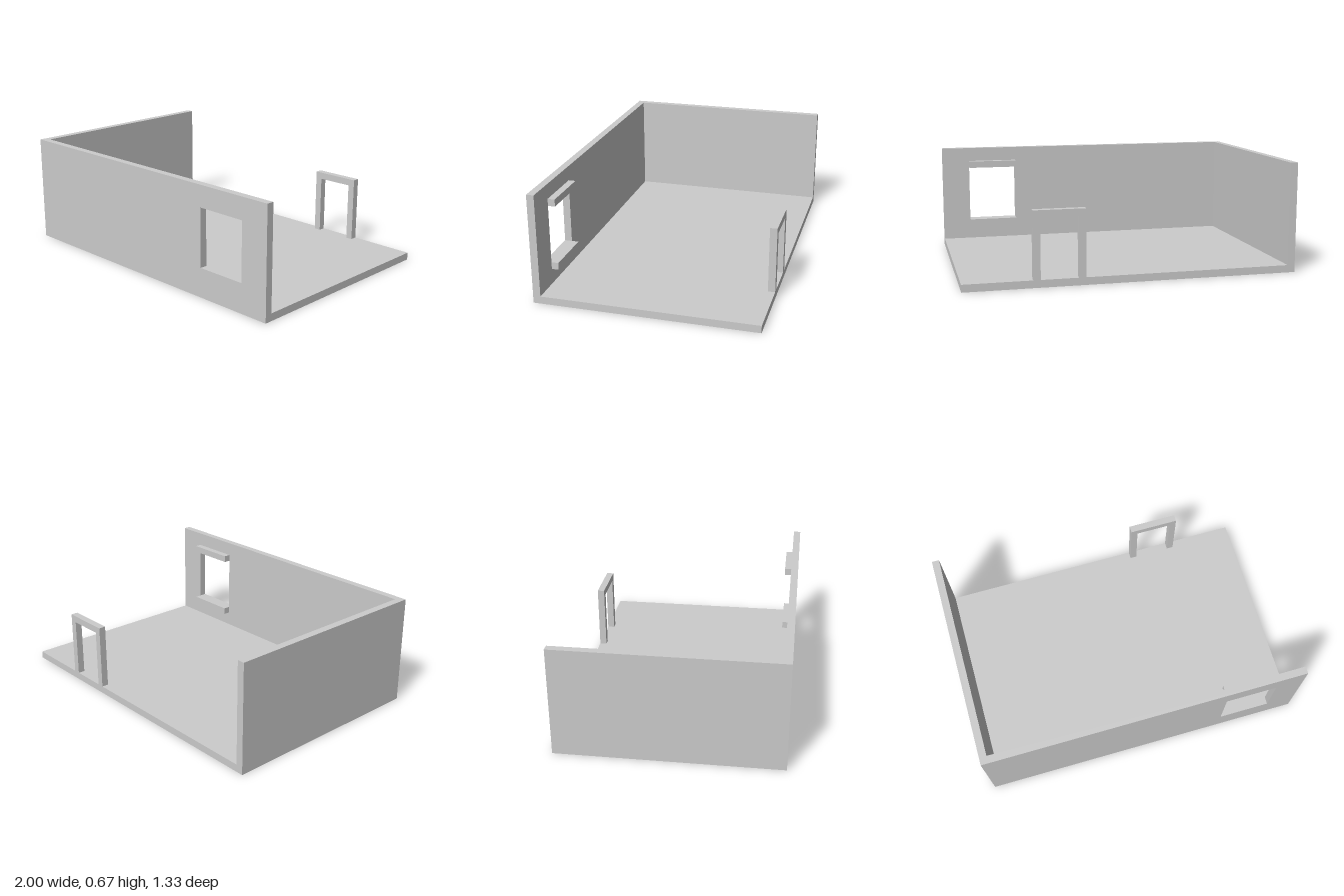
import * as THREE from 'three';

const T = 0.045; // wall and floor thickness
const W = 1, D = 0.667, H = 0.667; // half width, half depth, height

export function createModel() {
  const room = new THREE.Group();
  room.name = 'room';
  const material = new THREE.MeshStandardMaterial({ color: 0xcccccc, flatShading: true });

  const add = (name, geometry, parent = room) => {
    const mesh = new THREE.Mesh(geometry, material);
    mesh.name = name;
    parent.add(mesh);
    return mesh;
  };
  // Box given by its lowest and highest corners
  const box = (name, [x0, y0, z0], [x1, y1, z1], parent) =>
    add(name, new THREE.BoxGeometry(x1 - x0, y1 - y0, z1 - z0), parent)
      .position.set((x0 + x1) / 2, (y0 + y1) / 2, (z0 + z1) / 2);
  const trace = (path, points) => path.setFromPoints(points.map(p => new THREE.Vector2(...p)));

  // Floor and side wall
  box('floor', [-W, 0, -D], [W, T, D - T]);
  box('sideWall', [-W, T, -D], [-W + T, H, D - T]);

  // Front wall with the window opening
  const win = { x0: 0.507, x1: 0.822, y0: 0.18, y1: 0.536 };
  const wall = trace(new THREE.Shape(), [[-W, 0], [W, 0], [W, H], [-W, H]]);
  wall.holes.push(trace(new THREE.Path(), [
    [win.x0, win.y0], [win.x0, win.y1], [win.x1, win.y1], [win.x1, win.y0]]));
  add('frontWall', new THREE.ExtrudeGeometry(wall, { depth: T, bevelEnabled: false }))
    .position.z = D - T;

  // Ledges on the inside, above and below the window
  const ledge = 0.043;
  for (const [name, y] of [['windowLintel', win.y1], ['windowSill', win.y0 - ledge]]) {
    box(name, [win.x0, y, D - T - ledge], [win.x1, y + ledge, D - T]);
  }

  // Free-standing door frame on the back edge
  const x0 = 0.288, x1 = 0.595, top = 0.445, bar = 0.042;
  const frame = trace(new THREE.Shape(), [
    [x0, T], [x0 + bar, T], [x0 + bar, top - bar], [x1 - bar, top - bar],
    [x1 - bar, T], [x1, T], [x1, top], [x0, top]]);
  add('doorFrame', new THREE.ExtrudeGeometry(frame, { depth: 0.043, bevelEnabled: false }))
    .position.z = -D;

  return room;
}
